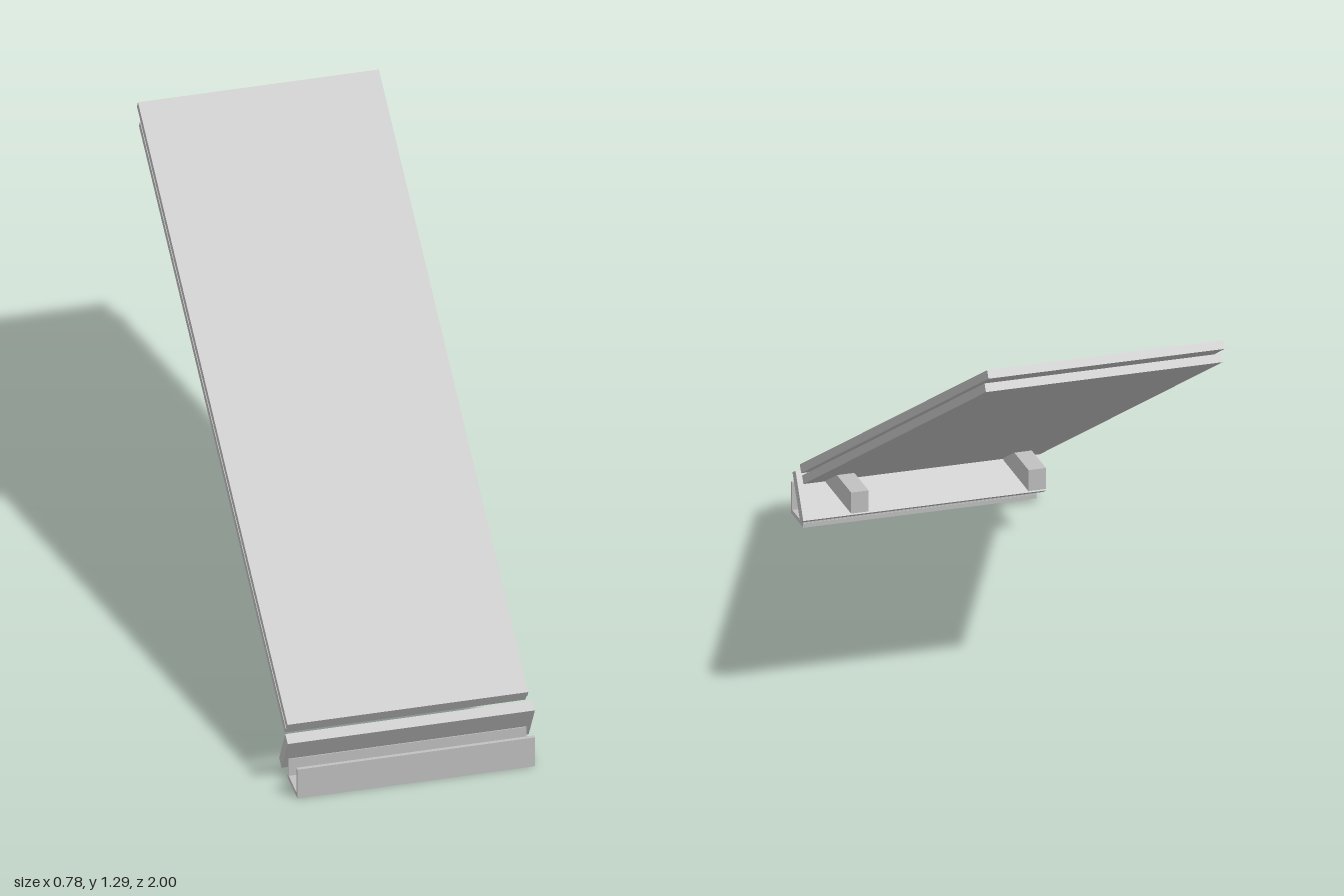
import * as THREE from 'three';

export function createModel() {
  const model = new THREE.Group();
  model.name = 'roofEave';
  const grey = new THREE.MeshStandardMaterial({ color: 0xc0c0c0 });
  grey.name = 'plainGrey';
  const PITCH = Math.PI / 6;

  // Box of given size, centred at x, y, z and tilted about the x axis
  function addBox(name, [w, h, d], [x, y, z], tilt = 0) {
    const mesh = new THREE.Mesh(new THREE.BoxGeometry(w, h, d), grey);
    mesh.name = name;
    mesh.position.set(x, y, z);
    mesh.rotation.x = tilt;
    model.add(mesh);
  }

  // Sloping sheet, placed by the top corner of its front edge
  function addSheet(name, width, thickness, length, y, z) {
    const c = Math.cos(PITCH), s = Math.sin(PITCH);
    addBox(name, [width, thickness, length],
      [0, y + s * length / 2 - c * thickness / 2, z - c * length / 2 - s * thickness / 2], PITCH);
  }

  // Roof covering and the deck just below it
  addSheet('roofPanel', 0.76, 0.027, 2.174, 0.204, 0.896);
  addSheet('roofDeck', 0.76, 0.027, 2.118, 0.177, 0.873);

  // Rafter tails, left and right
  for (const side of [1, -1]) {
    addBox(side > 0 ? 'leftRafterTail' : 'rightRafterTail', [0.056, 0.07, 0.25], [side * 0.285, 0.192, 0.715]);
  }

  // Tilted fascia board
  addBox('fasciaBoard', [0.78, 0.157, 0.035], [0, 0.103, 0.884], PITCH);

  // Open-ended gutter
  addBox('gutterFloor', [0.75, 0.014, 0.123], [0, 0.007, 0.9385]);
  addBox('gutterFrontWall', [0.75, 0.105, 0.012], [0, 0.0525, 0.994]);
  addBox('gutterBackWall', [0.75, 0.075, 0.012], [0, 0.0375, 0.885]);

  return model;
}
